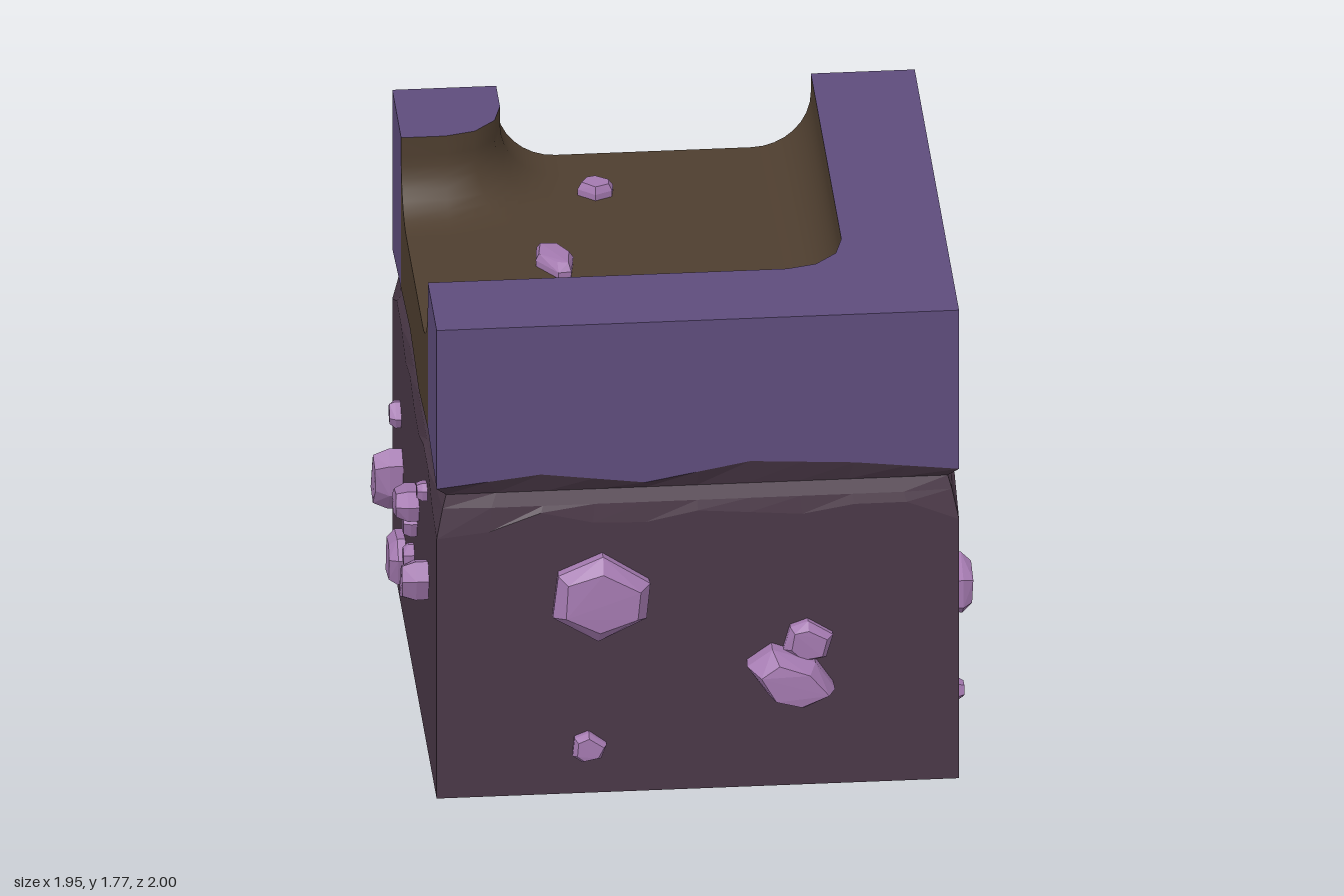
import * as THREE from 'three';
import { ConvexGeometry } from 'three/addons/geometries/ConvexGeometry.js';

const TOP = 1.77, FLOOR = 1.5, COVE = 0.2, RIM = 1.17;
const X = 0.88, FRONT = 0.86, BACK = -0.9;

const material = (color, flatShading = false) =>
  new THREE.MeshStandardMaterial({ color, flatShading, side: THREE.DoubleSide });
const turf = material(0x5e4c7c);
const dirt = material(0x4e3e2f);
const rock = material(0x4a3847, true);
const crystal = material(0xa47ab0, true);

let seed = 7;
const rand = () => (seed = (seed * 16807) % 2147483647) / 2147483647;

function add(parent, name, geometry, mat) {
  const mesh = new THREE.Mesh(geometry, mat);
  mesh.name = name;
  parent.add(mesh);
  return mesh;
}

// Stones per side, in the side's own frame: across, up, size, and a tilt for long ones
const frontStones = [[-0.33, 0.75, 0.34], [0.31, 0.43, 0.31, -0.5], [0.37, 0.55, 0.17], [-0.37, 0.18, 0.12]];
const rightStones = [[-0.6, 0.61, 0.22], [-0.16, 0.39, 0.22, -0.5], [-0.12, 0.48, 0.12], [0.05, 0.68, 0.09],
  [0.5, 0.82, 0.21], [0.56, 0.54, 0.24, 0.75], [0.57, 0.28, 0.09], [-0.63, 0.22, 0.08]];
const backStones = [[-0.64, 0.77, 0.1], [-0.61, 0.52, 0.28, 0.6], [-0.56, 0.22, 0.23], [0.1, 0.61, 0.27, -0.7],
  [-0.12, 0.36, 0.09], [0.54, 0.8, 0.1], [0.53, 0.42, 0.23]];
const leftStones = [[-0.58, 0.71, 0.1], [-0.54, 0.49, 0.25, 1.2], [-0.43, 0.25, 0.2], [0.08, 0.72, 0.2, 0.1],
  [0.03, 0.63, 0.13], [-0.05, 0.45, 0.09], [0.47, 0.62, 0.23, 0.9], [0.46, 0.96, 0.08]];
const floorStones = [[-0.22, 0.61, 0.12], [-0.4, 0.1, 0.21, 1.9], [0.23, -0.18, 0.24, 0.7]];

// Cove profile: distance from the wall, height
const PROFILE = [[0, TOP]];
for (let i = 0; i <= 8; i++) {
  const a = (i / 8) * Math.PI / 2;
  PROFILE.push([COVE * (1 - Math.cos(a)), FLOOR + COVE * (1 - Math.sin(a))]);
}

// Faceted stone with a bevelled outer face
function addStone(parent, [u, y, size, tilt], depth) {
  const h = size * (tilt ? 0.58 : 0.9);
  const points = [];
  for (let i = 0; i < 6; i++) {
    const a = (i + 0.3 + 0.5 * (rand() - 0.5)) * Math.PI / 3;
    const px = Math.cos(a) * size / 2, py = Math.sin(a) * h / 2;
    const inner = 0.68 + 0.2 * rand();
    points.push(new THREE.Vector3(px, py, -0.04), new THREE.Vector3(px * 1.04, py * 1.04, depth * 0.45),
      new THREE.Vector3(px * inner, py * inner, depth * (0.9 + 0.1 * rand())));
  }
  const mesh = add(parent, 'crystal', new ConvexGeometry(points), crystal);
  mesh.position.set(u, y, 0);
  mesh.rotation.z = tilt ?? 0;
}

// Surface through rows of points of equal length
function sheet(rows) {
  const n = rows[0].length, index = [];
  for (let r = 0; r < rows.length - 1; r++) {
    for (let i = 0; i < n - 1; i++) {
      const a = r * n + i, b = a + n;
      index.push(a, a + 1, b + 1, a, b + 1, b);
    }
  }
  const geometry = new THREE.BufferGeometry();
  geometry.setAttribute('position', new THREE.Float32BufferAttribute(rows.flat(2), 3));
  geometry.setIndex(index);
  geometry.computeVertexNormals();
  return geometry;
}

// Rock side with a chipped shoulder and a groove below the turf
function rockSide(u0, u1, edge) {
  const rows = [[], [], [], [], []];
  for (let i = 0; i <= 10; i++) {
    const end = i % 10 === 0, u = THREE.MathUtils.lerp(u0, u1, i / 10);
    const levels = [[0, 0], [end ? 0.98 : 1 + 0.07 * rand(), 0], [1.085, end ? 0.022 : 0.012],
      [1.13, 0.035], [edge(u), 0]];
    levels.forEach(([y, inset], r) =>
      rows[r].push([THREE.MathUtils.lerp(u0 + inset, u1 - inset, i / 10), y, -inset]));
  }
  return sheet(rows);
}

// One side of the block; [a, b] is the span where the path opens, if any
function addSide(parent, name, turn, position, [u0, u1], bumps, stones, opening) {
  const group = new THREE.Group();
  group.name = name;
  group.position.set(...position);
  group.rotation.y = turn;
  parent.add(group);

  // Wavy lower edge of the turf
  const wave = [RIM, ...bumps, RIM], step = (u1 - u0) / 5;
  const edge = (u) => {
    const t = (u - u0) / step, i = THREE.MathUtils.clamp(Math.floor(t), 0, 4);
    return THREE.MathUtils.lerp(wave[i], wave[i + 1], t - i);
  };
  const panel = (a, b, top) => {
    const us = [a, ...[1, 2, 3, 4].map((i) => u0 + i * step).filter((u) => u > a && u < b), b];
    const outline = [...us.map((u) => [u, edge(u)]), ...top];
    return new THREE.ShapeGeometry(new THREE.Shape(outline.map((p) => new THREE.Vector2(...p))));
  };

  add(group, 'rockWall', rockSide(u0, u1, edge), rock);
  const spans = opening ? [[u0, opening[0]], [opening[1], u1]] : [[u0, u1]];
  for (const [a, b] of spans) add(group, 'turfEdge', panel(a, b, [[b, TOP], [a, TOP]]), turf);
  if (opening) {
    const [a, b] = opening;
    const top = [...PROFILE.map(([d, y]) => [b - d, y]), ...PROFILE.map(([d, y]) => [a + d, y]).reverse()];
    add(group, 'dirtEdge', panel(a, b, top), dirt);
  }
  stones.forEach((s) => addStone(group, s, s[3] ? s[2] * 0.4 : 0.02 + s[2] * 0.2));
}

// Rounded corner contour seen from above, as x and z
function contour(cx, cz, r) {
  const arc = [0, 1, 2, 3].map((i) => {
    const a = i * Math.PI / 6;
    return [cx + r * Math.cos(a), cz + r * Math.sin(a)];
  });
  return [[cx + r, BACK], ...arc, [-X, cz + r]];
}
const bank = (d) => contour(0.33, 0.31, 0.2 - d);
const post = (d) => contour(-0.73, -0.75, 0.2 + d);

// Level surface from x and z corners
function level(points, y) {
  const shape = new THREE.Shape(points.map(([x, z]) => new THREE.Vector2(x, -z)));
  return new THREE.ShapeGeometry(shape).rotateX(-Math.PI / 2).translate(0, y, 0);
}

export function createModel() {
  const model = new THREE.Group();
  model.name = 'pathCornerBlock';

  addSide(model, 'frontSide', 0, [0, 0, FRONT], [-X, X], [1.21, 1.165, 1.23, 1.21], frontStones);
  addSide(model, 'rightSide', Math.PI / 2, [X, 0, 0], [-FRONT, -BACK], [1.18, 1.25, 1.19, 1.23], rightStones);
  addSide(model, 'backSide', Math.PI, [0, 0, BACK], [-X, X], [1.21, 1.2, 1.23, 1.19], backStones, [-0.53, 0.53]);
  addSide(model, 'leftSide', -Math.PI / 2, [-X, 0, 0], [BACK, FRONT], [1.2, 1.23, 1.18, 1.22], leftStones,
    [-0.55, 0.51]);

  // Turf tops and the underside
  add(model, 'turfBank', level([...bank(0), [-X, FRONT], [X, FRONT], [X, BACK]], TOP), turf);
  add(model, 'turfPost', level([...post(0), [-X, BACK]], TOP), turf);
  const base = level([[-X, BACK], [X, BACK], [X, FRONT], [-X, FRONT]], 0);
  add(model, 'base', base.rotateZ(Math.PI), turf);

  // Sunken path with coved banks
  const rowsOf = (line) => PROFILE.map(([d, y]) => line(d).map(([x, z]) => [x, y, z]));
  add(model, 'pathBank', sheet(rowsOf(bank).reverse()), dirt);
  add(model, 'postBank', sheet(rowsOf(post)), dirt);
  const floor = [[0.33, BACK], [0.33, 0.31], [-X, 0.31], ...post(COVE).reverse()];
  add(model, 'pathFloor', level(floor, FLOOR), dirt);

  // Stones lying on the path
  const path = new THREE.Group();
  path.name = 'pathStones';
  path.position.y = FLOOR;
  path.rotation.x = -Math.PI / 2;
  floorStones.forEach((s) => addStone(path, s, 0.05));
  model.add(path);
  return model;
}
